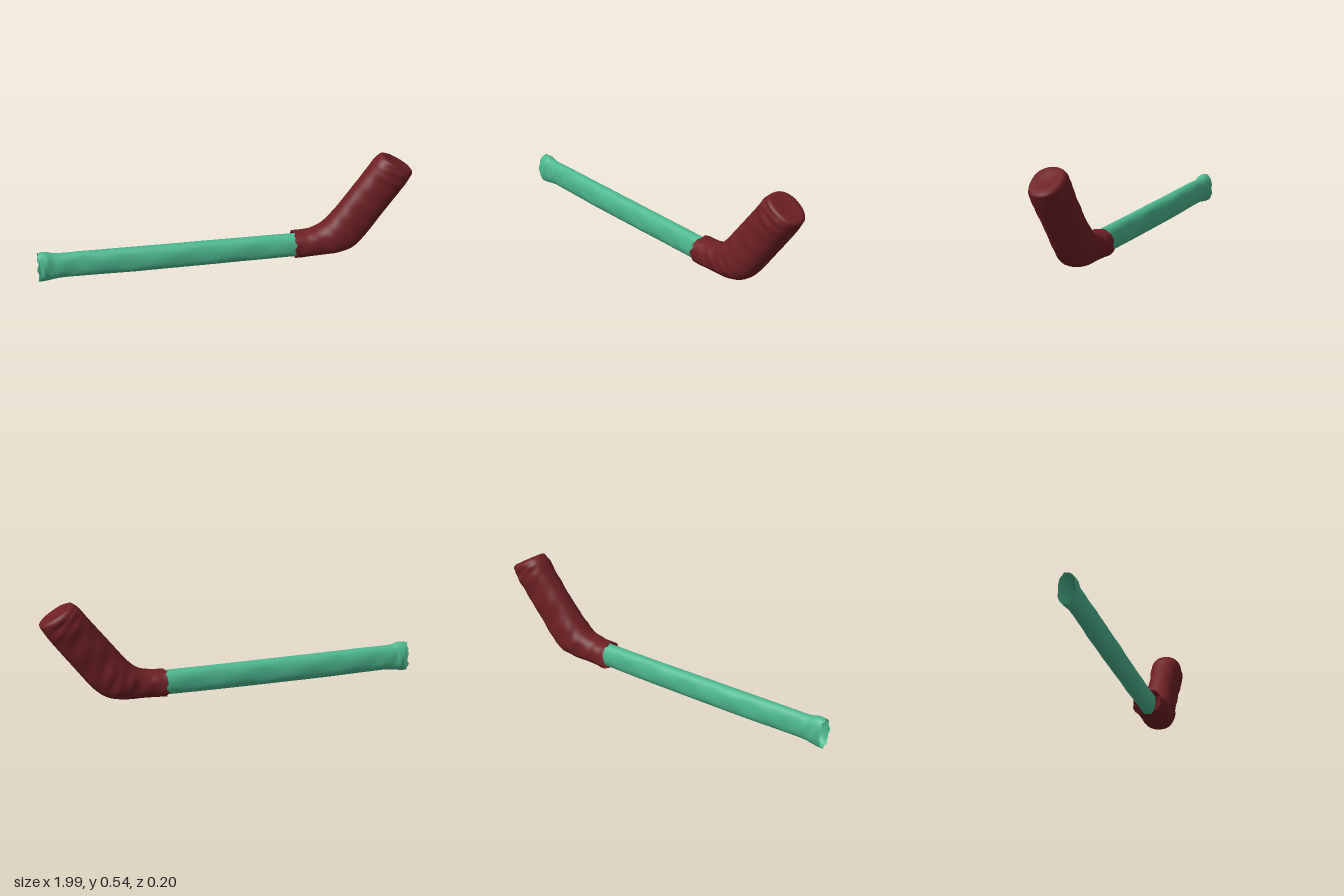
import * as THREE from 'three';

// Skins a tube through stations [upperX, upperY, lowerX, lowerY, zCentre, halfWidth].
function loft(stations, { steps, power, wrinkle, ragged = 0, cap = false }) {
  const sides = 48;
  const spline = (f) => new THREE.CatmullRomCurve3(
    stations.map((s) => new THREE.Vector3(...f(s))), false, 'catmullrom', 0.5);
  const upper = spline((s) => [s[0], s[1], s[4]]);
  const lower = spline((s) => [s[2], s[3], s[4]]);
  const width = spline((s) => [s[5], 0, 0]);

  // rings: [position along, scale, outward push]
  const rings = [];
  for (let i = 0; i <= steps; i++) rings.push([i / steps, 1, 0]);
  if (cap) rings.push([1, 0.95, 0.008], [1, 0.82, 0.014], [1, 0.5, 0.01], [1, 0.2, 0.007], [1, 0.001, 0.007]);

  const pos = [], index = [];
  rings.forEach(([t, scale, push], i) => {
    const u = upper.getPoint(t), l = lower.getPoint(t), w = width.getPoint(t).x;
    const c = u.clone().add(l).multiplyScalar(0.5);
    const half = u.clone().sub(l).multiplyScalar(0.5);
    const along = new THREE.Vector3(half.y, -half.x, 0).normalize();
    for (let j = 0; j < sides; j++) {
      const a = (j / sides) * Math.PI * 2;
      const round = (v) => Math.sign(v) * Math.abs(v) ** power;
      // gentle folds running around and along the cloth
      const fold = 1 + wrinkle * (Math.sin(t * 37 + 2 * a) * 0.5 + Math.sin(t * 61 - 3 * a) * 0.5) * Math.abs(Math.sin(a));
      const k = scale * fold;
      const p = c.clone().addScaledVector(half, round(Math.cos(a)) * scale);
      p.z += round(Math.sin(a)) * w * k;
      p.addScaledVector(along, push);
      if (i === 0) p.x += ragged * (Math.sin(a * 7) + Math.sin(a * 11 + 1));
      pos.push(p.x, p.y, p.z);
      if (i > 0) {
        const n = (j + 1) % sides, A = (i - 1) * sides, B = i * sides;
        index.push(A + j, A + n, B + j, A + n, B + n, B + j);
      }
    }
  });
  const g = new THREE.BufferGeometry();
  g.setAttribute('position', new THREE.Float32BufferAttribute(pos, 3));
  g.setIndex(index);
  g.computeVertexNormals();
  return g;
}

export function createModel() {
  const model = new THREE.Group();
  const add = (name, geometry, color) => {
    const mesh = new THREE.Mesh(geometry, new THREE.MeshStandardMaterial({ color, side: THREE.DoubleSide }));
    mesh.name = name;
    model.add(mesh);
  };

  // long flattened shaft, open and flared at the far end
  add('shaft', loft([
    [-0.99, 0.17, -0.99, 0.01, 0.04, 0.043],
    [-0.95, 0.173, -0.95, 0.013, 0.041, 0.044],
    [-0.89, 0.16, -0.88, 0.022, 0.04, 0.038],
    [-0.75, 0.158, -0.75, 0.02, 0.037, 0.038],
    [-0.5, 0.152, -0.5, 0.014, 0.032, 0.042],
    [-0.2, 0.147, -0.2, 0.01, 0.026, 0.041],
    [0.1, 0.142, 0.1, 0.007, 0.02, 0.04],
    [0.37, 0.138, 0.37, 0.006, 0.017, 0.041],
  ], { steps: 70, power: 0.9, wrinkle: 0.07, ragged: 0.003 }), 0x4db890);

  // bent sleeve with a ragged mouth and a closed, slightly domed end
  add('sleeve', loft([
    [0.355, 0.143, 0.355, 0.003, 0.012, 0.077],
    [0.43, 0.147, 0.46, 0.006, 0.013, 0.074],
    [0.495, 0.165, 0.59, 0.011, 0.008, 0.082],
    [0.55, 0.21, 0.675, 0.035, 0.006, 0.088],
    [0.61, 0.285, 0.74, 0.09, 0.002, 0.08],
    [0.68, 0.375, 0.82, 0.195, -0.004, 0.079],
    [0.75, 0.465, 0.905, 0.31, -0.01, 0.083],
    [0.787, 0.515, 0.955, 0.38, -0.012, 0.087],
    [0.815, 0.54, 0.99, 0.437, -0.014, 0.08],
  ], { steps: 60, power: 0.85, wrinkle: 0.06, ragged: 0.004, cap: true }), 0x6e2024);

  return model;
}
